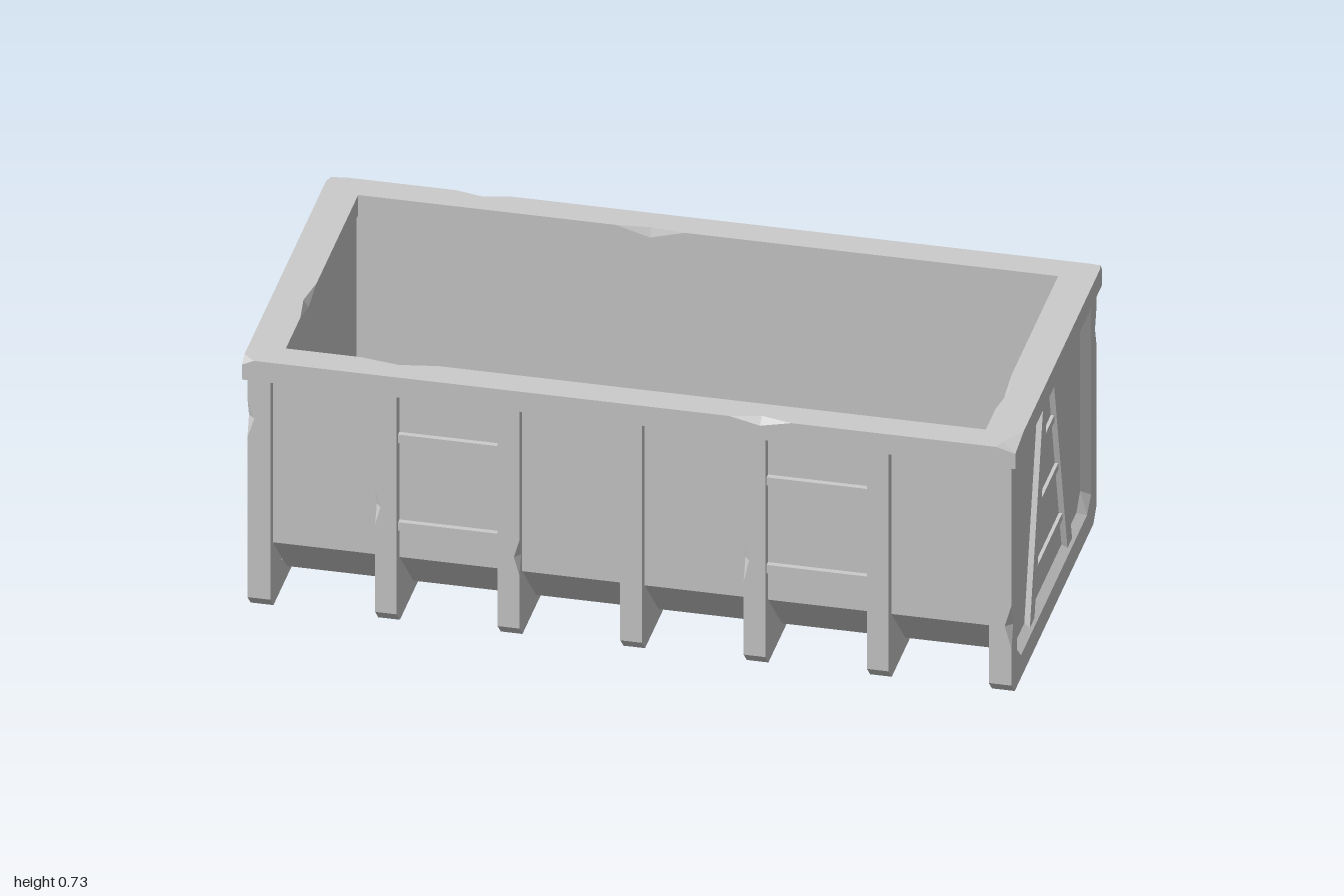
import * as THREE from 'three';

const material = new THREE.MeshStandardMaterial({ color: 0xcccccc, flatShading: true, side: THREE.DoubleSide });

function addMesh(parent, name, geometry) {
  const mesh = new THREE.Mesh(geometry, material);
  mesh.name = name;
  parent.add(mesh);
  return mesh;
}

// Skin cross-sections (rings of [x, y, z]); either capped at both ends or closed into a loop
function loft(sections, closed) {
  const tris = [];
  const n = sections[0].length, m = sections.length;
  for (let i = 0; i < (closed ? m : m - 1); i++) {
    const a = sections[i], b = sections[(i + 1) % m];
    for (let j = 0; j < n; j++) {
      const k = (j + 1) % n;
      tris.push([a[j], b[j], b[k]], [a[j], b[k], a[k]]);
    }
  }
  if (!closed) {
    const s = sections[0], e = sections[m - 1];
    for (let j = 1; j < n - 1; j++) tris.push([s[0], s[j], s[j + 1]], [e[0], e[j + 1], e[j]]);
  }
  // Drop empty triangles and turn the skin outward by its signed volume
  let volume = 0;
  const solid = tris.map(t => t.map(p => new THREE.Vector3(...p))).filter(t =>
    new THREE.Triangle(...t).getArea() > 1e-8);
  for (const [a, b, c] of solid) volume += a.dot(b.clone().cross(c));
  const points = solid.flatMap(([a, b, c]) => (volume < 0 ? [a, c, b] : [a, b, c]));
  const geometry = new THREE.BufferGeometry().setFromPoints(points);
  geometry.computeVertexNormals();
  return geometry;
}

// Flat plate with a [z, y] outline, spanning x0 to x1
function plate(outline, x0, x1) {
  const shape = new THREE.Shape(outline.map(([z, y]) => new THREE.Vector2(-z, y)));
  const geometry = new THREE.ExtrudeGeometry(shape, { depth: x1 - x0, bevelEnabled: false });
  return geometry.rotateY(Math.PI / 2).translate(x0, 0, 0);
}

// Complete a half outline (z > 0, top to bottom) with its mirror image
const mirrored = half => [...half, ...half.map(([z, y]) => [-z, y]).reverse()];

// Stations around a U-shaped rib; a chip is { side: front 1 / back -1, edge: +x 1 / -x -1, y, half }
function ribStations(chips) {
  const leg = side => {
    const list = [{ side, z: 0.47, y: 0.67 }];
    for (const c of chips.filter(c => c.side === side).sort((a, b) => b.y - a.y)) {
      list.push({ side, z: 0.47, y: c.y + c.half },
        { side, z: 0.47, y: c.y, edge: c.edge },
        { side, z: 0.47, y: c.y - c.half });
    }
    list.push({ side, z: 0.47, y: 0.035 }, { side, z: 0.435, y: 0 });
    return list;
  };
  return [...leg(1), ...leg(-1).reverse()];
}

function ribGeometry(x, chips) {
  const w = 0.028;
  return loft(ribStations(chips).map(({ side, z, y, edge }) => {
    const iz = side * (y === 0 ? 0.277 : 0.424), oz = side * z;
    const iy = y === 0 ? 0.037 : Math.max(y, 0.19);
    const l = edge === -1 ? 1 : 0, r = edge === 1 ? 1 : 0;
    return [
      [x - w, iy, iz],
      [x - w, y, oz - side * 0.02 * l], [x - w + 0.014 * l, y, oz],
      [x + w - 0.014 * r, y, oz], [x + w, y, oz - side * 0.02 * r],
      [x + w, iy, iz],
    ];
  }), false);
}

// Frame around a bevelled end recess
function endFrameGeometry(chips) {
  return loft(ribStations(chips).map(({ side, z, y, edge }) => {
    const c = edge ? 1 : 0, oz = side * z;
    const low = y === 0;
    const openZ = side * (low ? 0.365 : 0.41), openY = low ? 0.065 : THREE.MathUtils.clamp(y, 0.1, 0.655);
    const inZ = side * (low ? 0.345 : 0.387), inY = low ? 0.08 : THREE.MathUtils.clamp(y, 0.12, 0.637);
    return [
      [0.929, y, oz],
      [0.988 - 0.018 * c, y, oz], [0.988, y, oz - side * 0.017 * c],
      [0.988, openY, openZ], [0.965, inY, inZ], [0.929, inY, inZ],
    ];
  }), true);
}

// Rim loop; cuts nick the outer or inner top edge as [inward, down]
function rimGeometry() {
  const none = [0, 0];
  const p = (x, z, out = none, inn = none) => ({ x, z, out, inn });
  const alongX = (x, z, half, dir, out, inn) => [p(x - dir * half, z), p(x, z, out, inn), p(x + dir * half, z)];
  const alongZ = (x, z, half, dir, out, inn) => [p(x, z - dir * half), p(x, z, out, inn), p(x, z + dir * half)];
  const stations = [
    p(1, 0.48, [0.05, 0.014]), p(1, 0.385),
    ...alongZ(1, 0.2, 0.09, -1, none, [0.015, 0.02]),
    p(1, -0.455), p(1, -0.48, [0.004, 0.014]), p(0.97, -0.48),
    ...alongX(-0.15, -0.48, 0.09, -1, none, [0.008, 0.025]),
    ...alongX(-0.6, -0.48, 0.07, -1, [0.016, 0.015], none),
    p(-0.95, -0.48), p(-1, -0.48, [0.01, 0.014]), p(-1, -0.45),
    ...alongZ(-1, 0.15, 0.09, 1, none, [0.013, 0.02]),
    p(-1, 0.45), p(-1, 0.48, [0.02, 0.015]), p(-0.97, 0.48),
    ...alongX(-0.61, 0.48, 0.1, 1, none, [0.017, 0.015]),
    ...alongX(0.34, 0.48, 0.08, 1, [0.02, 0.018], none),
    p(0.95, 0.48),
  ];
  const top = 0.728, bottom = 0.67;
  return loft(stations.map(({ x, z, out, inn }) => {
    const ix = THREE.MathUtils.clamp(x, -0.905, 0.905), iz = THREE.MathUtils.clamp(z, -0.4, 0.4);
    const d = new THREE.Vector2(ix - x, iz - z).normalize();
    return [
      [x, bottom, z], [x, top - out[1], z],
      [x + d.x * out[0], top, z + d.y * out[0]],
      [ix - d.x * inn[0], top, iz - d.y * inn[0]],
      [ix, top - inn[1], iz], [ix, bottom, iz],
    ];
  }), true);
}

function createEnd() {
  const end = new THREE.Group();
  addMesh(end, 'endFrame', endFrameGeometry([
    { side: 1, edge: 1, y: 0.205, half: 0.063 },
    { side: -1, edge: 1, y: 0.555, half: 0.055 },
  ]));
  addMesh(end, 'endPanel', plate(mirrored([[0.387, 0.637], [0.387, 0.12], [0.345, 0.08]]), 0.93, 0.965));
  addMesh(end, 'endInnerWall', plate(mirrored([[0.42, 0.67], [0.42, 0.188], [0.28, 0.038]]), 0.911, 0.94));
  // Ladder-like brace: two leaning legs with three crossbars
  for (const s of [1, -1]) {
    addMesh(end, 'braceLeg', plate(
      [[s * 0.08, 0.652], [s * 0.235, 0.065], [s * 0.184, 0.065], [s * 0.027, 0.652]], 0.95, 0.98));
  }
  const legZ = y => 0.21 - (y - 0.065) * 0.264;
  for (const y of [0.511, 0.348, 0.178]) {
    const a = legZ(y + 0.01), b = legZ(y - 0.01);
    addMesh(end, 'braceCrossbar', plate([[a, y + 0.01], [b, y - 0.01], [-b, y - 0.01], [-a, y + 0.01]], 0.95, 0.974));
  }
  return end;
}

export function createModel() {
  const model = new THREE.Group();
  model.name = 'openContainer';

  // Trough: straight walls, sloping lower sides, flat floor
  const outer = mirrored([[0.44, 0.67], [0.44, 0.185], [0.285, 0.03]]);
  const inner = mirrored([[0.406, 0.67], [0.406, 0.193], [0.274, 0.045]]).reverse();
  addMesh(model, 'trough', plate([...outer, ...inner], -0.935, 0.935));

  addMesh(model, 'rim', rimGeometry());

  // Ribs wrapping under the trough, some with chipped edges
  const ribs = [
    [-0.63, [{ side: 1, edge: -1, y: 0.34, half: 0.05 }]],
    [-0.313, [{ side: 1, edge: 1, y: 0.24, half: 0.05 }, { side: -1, edge: 1, y: 0.3, half: 0.06 }]],
    [0.004, []],
    [0.323, [{ side: 1, edge: -1, y: 0.31, half: 0.065 }]],
    [0.642, []],
  ];
  for (const [x, chips] of ribs) addMesh(model, 'rib', ribGeometry(x, chips));

  // Climbing rungs between ribs on both long sides
  for (const x of [-0.472, 0.482])
    for (const y of [0.536, 0.282])
      for (const s of [1, -1])
        addMesh(model, 'rung', new THREE.BoxGeometry(0.28, 0.024, 0.03)).position.set(x, y, s * 0.44);

  const leftEnd = createEnd();
  leftEnd.name = 'leftEnd';
  const rightEnd = createEnd();
  rightEnd.name = 'rightEnd';
  rightEnd.rotation.y = Math.PI;
  model.add(leftEnd, rightEnd);
  return model;
}
